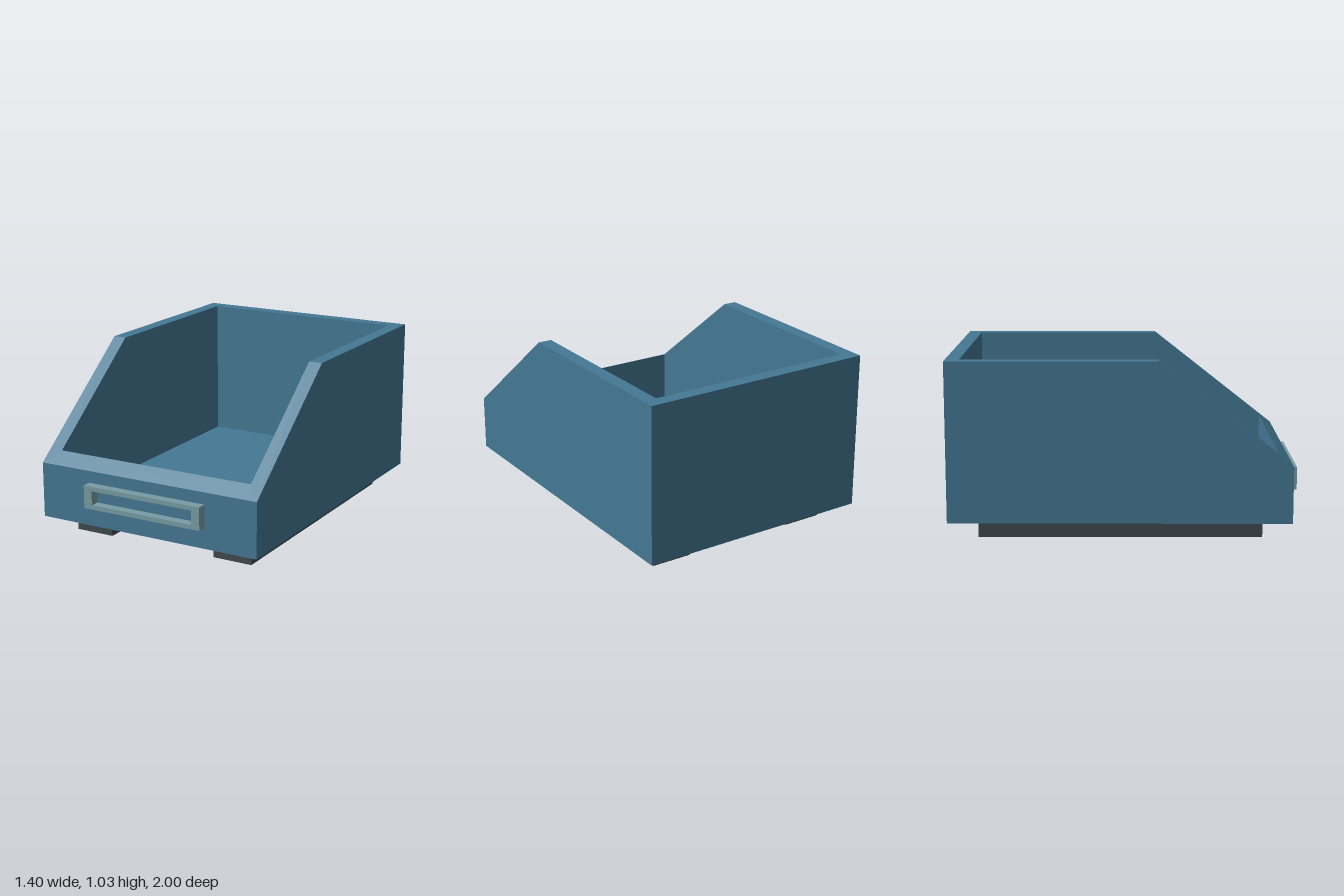
import * as THREE from 'three';

const blue = new THREE.MeshStandardMaterial({ color: 0x447894 });
const teal = new THREE.MeshStandardMaterial({ color: 0x789ca3 });
const dark = new THREE.MeshStandardMaterial({ color: 0x41494e });

// Open tub as one closed shell: an outer and an inner side profile, joined by a rim
function tubGeometry() {
  const outerX = 0.7, innerX = 0.62;
  // [z, y]: front bottom, front top, knee, back top, back bottom
  const outer = [[0.945, 0.11], [0.945, 0.435], [0.19, 1.03], [-1, 1.03], [-1, 0.11]];
  const inner = [[0.865, 0.19], [0.865, 0.498], [0.19, 1.03], [-0.92, 1.03], [-0.92, 0.19]];
  const positions = [];
  const face = (points, flip) => {
    const p = flip ? [...points].reverse() : points;
    for (let i = 1; i < p.length - 1; i++) positions.push(...p[0], ...p[i], ...p[i + 1]);
  };
  const o = (i, s) => [s * outerX, outer[i][1], outer[i][0]];
  const n = (i, s) => [s * innerX, inner[i][1], inner[i][0]];
  const ring = [0, 1, 2, 3, 4];

  for (const s of [1, -1]) {
    // side walls, outside and inside
    face(ring.map(i => o(i, s)), s > 0);
    face(ring.map(i => n(i, s)), s < 0);
    // sloped and level side rims
    for (const i of [1, 2]) face([o(i, s), o(i + 1, s), n(i + 1, s), n(i, s)], s < 0);
  }
  // front wall, back wall and floor, outside and inside
  for (const [i, j] of [[0, 1], [3, 4], [4, 0]]) {
    face([o(i, -1), o(i, 1), o(j, 1), o(j, -1)], false);
    face([n(i, -1), n(i, 1), n(j, 1), n(j, -1)], true);
  }
  // front and back rims
  face([o(1, -1), o(1, 1), n(1, 1), n(1, -1)], false);
  face([n(3, -1), n(3, 1), o(3, 1), o(3, -1)], false);

  const geometry = new THREE.BufferGeometry();
  geometry.setAttribute('position', new THREE.Float32BufferAttribute(positions, 3));
  geometry.computeVertexNormals();
  return geometry;
}

// Rectangular outline centred on the origin
function rectangle(target, w, h) {
  target.moveTo(-w / 2, -h / 2);
  target.lineTo(w / 2, -h / 2);
  target.lineTo(w / 2, h / 2);
  target.lineTo(-w / 2, h / 2);
  target.closePath();
  return target;
}

export function createModel() {
  const model = new THREE.Group();
  model.name = 'storageBin';
  const add = (name, geometry, material, x, y, z) => {
    const mesh = new THREE.Mesh(geometry, material);
    mesh.name = name;
    mesh.position.set(x, y, z);
    model.add(mesh);
  };

  add('tub', tubGeometry(), blue, 0, 0, 0);

  // Label holder on the front wall
  const frame = rectangle(new THREE.Shape(), 0.755, 0.135);
  frame.holes.push(rectangle(new THREE.Path(), 0.65, 0.083));
  const frameGeometry = new THREE.ExtrudeGeometry(frame, { depth: 0.055, bevelEnabled: false });
  add('labelFrame', frameGeometry, teal, 0, 0.298, 0.945);

  // Pair of runners under the floor
  for (const [name, s] of [['leftRunner', 1], ['rightRunner', -1]]) {
    add(name, new THREE.BoxGeometry(0.24, 0.11, 1.62), dark, s * 0.46, 0.055, -0.025);
  }
  return model;
}
